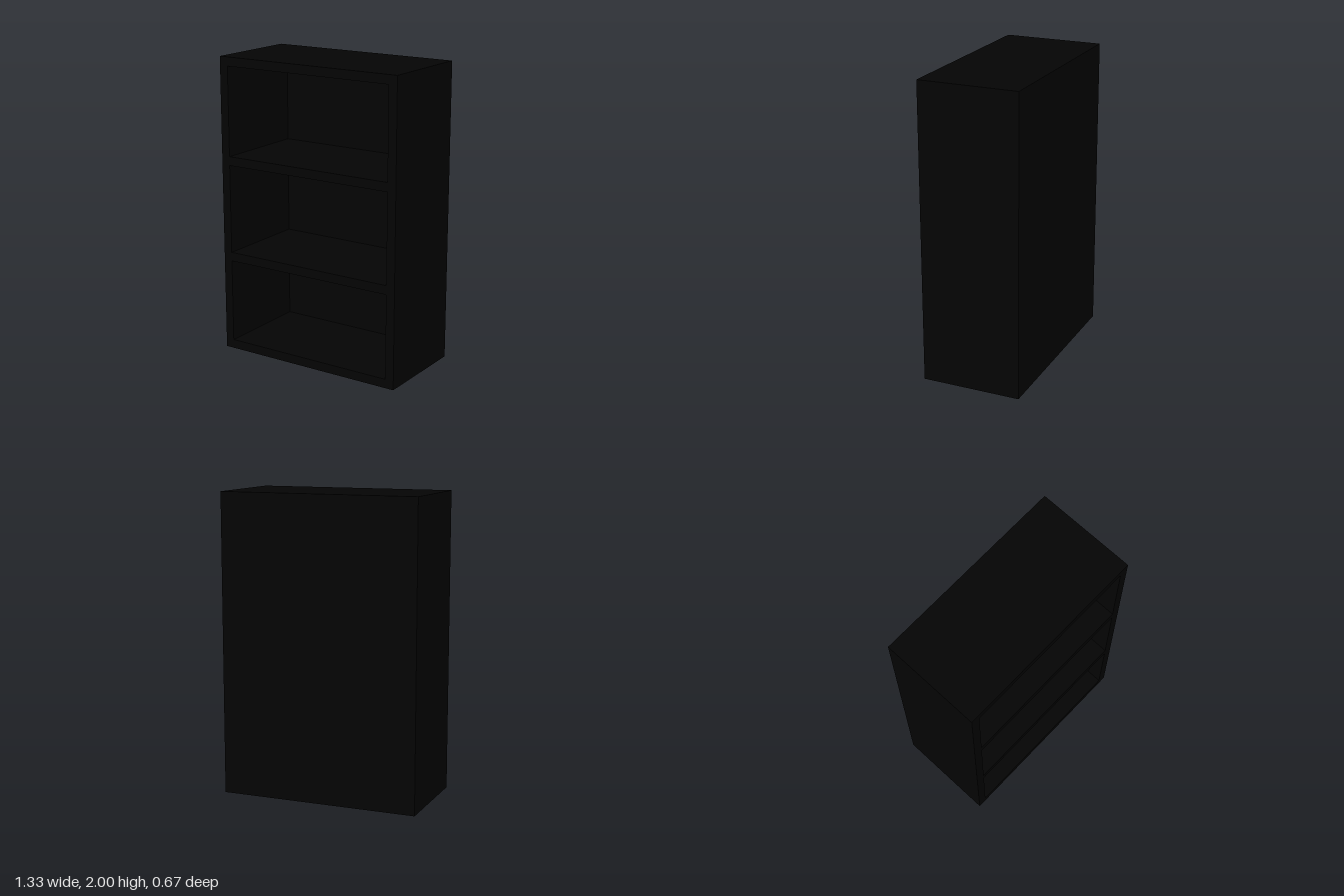
import * as THREE from 'three';

export function createModel() {
  const W = 1.333, H = 2, D = 0.667; // outer size
  const T = 0.06, BACK = 0.012;      // board and back panel thickness
  const inner = W - 2 * T;
  const material = new THREE.MeshStandardMaterial({ color: 0x040404 });
  const bookcase = new THREE.Group();
  bookcase.name = 'bookcase';

  function board(name, w, h, d, x, y, z) {
    const mesh = new THREE.Mesh(new THREE.BoxGeometry(w, h, d), material);
    mesh.name = name;
    mesh.position.set(x, y, z);
    bookcase.add(mesh);
  }

  // Full-height sides
  for (const [name, s] of [['leftSide', 1], ['rightSide', -1]]) {
    board(name, T, H, D, s * (W - T) / 2, H / 2, 0);
  }

  // Top and bottom boards between the sides
  board('bottomBoard', inner, T, D, 0, T / 2, 0);
  board('topBoard', inner, T, D, 0, H - T / 2, 0);

  // Thin back panel closing the frame
  board('backPanel', inner, H - 2 * T, BACK, 0, H / 2, -D / 2 + BACK / 2);

  // Two shelves, flush with the front edge
  [0.655, 1.313].forEach((y, i) => {
    board(i ? 'upperShelf' : 'lowerShelf', inner, T, D - BACK, 0, y, BACK / 2);
  });

  return bookcase;
}
